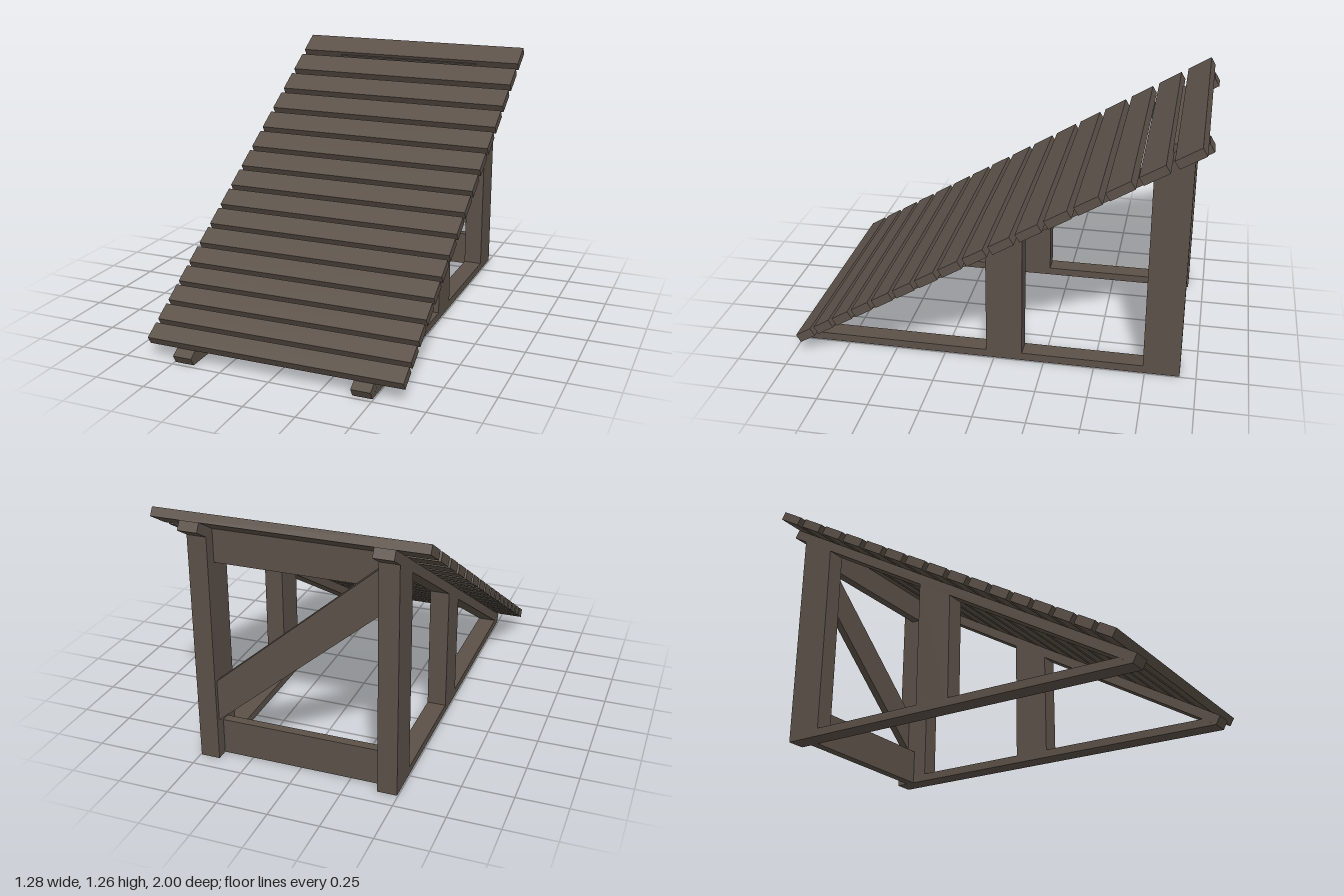
import * as THREE from 'three';

const wood = new THREE.MeshStandardMaterial({ color: 0x5b5148, flatShading: true });
const angle = Math.atan(0.601);
const sin = Math.sin(angle), cos = Math.cos(angle);

// Underside height of the sloping rafters at a given z
const under = (z) => (0.975 - z) * 0.601;

// Prism from a side profile of [z, y] points, spanning x0..x1
function sidePrism(name, points, x0, x1) {
  const shape = new THREE.Shape(points.map(([z, y]) => new THREE.Vector2(-z, y)));
  const geo = new THREE.ExtrudeGeometry(shape, { depth: x1 - x0, bevelEnabled: false });
  geo.rotateY(Math.PI / 2).translate(x0, 0, 0);
  const mesh = new THREE.Mesh(geo, wood);
  mesh.name = name;
  return mesh;
}

// Plank across the back from a front profile of [x, y] points, spanning z0..z1
function backPlank(name, points, z0, z1) {
  const shape = new THREE.Shape(points.map(([x, y]) => new THREE.Vector2(x, y)));
  const geo = new THREE.ExtrudeGeometry(shape, { depth: z1 - z0, bevelEnabled: false });
  geo.translate(0, 0, z0);
  const mesh = new THREE.Mesh(geo, wood);
  mesh.name = name;
  return mesh;
}

// Plank profile lying along the slope; (z, y) is its lower front corner
function slopeProfile(z, y, length, thick) {
  const dz = -cos * length, dy = sin * length;
  const nz = sin * thick, ny = cos * thick;
  return [[z, y], [z + dz, y + dy], [z + dz + nz, y + dy + ny], [z + nz, y + ny]];
}

export function createModel() {
  const model = new THREE.Group();
  model.name = 'slattedRamp';

  // Two side frames: ground rail, sloping rafter and two posts
  for (const side of [-1, 1]) {
    const frame = new THREE.Group();
    frame.name = side > 0 ? 'leftFrame' : 'rightFrame';
    const x0 = side > 0 ? 0.4 : -0.495;
    const x1 = x0 + 0.095;
    frame.add(sidePrism('groundRail', [[0.975, 0], [-0.92, 0], [-0.92, 0.04], [0.908, 0.04]], x0, x1));
    frame.add(sidePrism('rafter', slopeProfile(0.975, 0, 1.975 / cos, 0.047), x0, x1));
    for (const [name, front, back] of [['middlePost', 0.04, -0.14], ['backPost', -0.74, -0.92]]) {
      frame.add(sidePrism(name, [[front, 0], [back, 0], [back, under(back)], [front, under(front)]], x0, x1));
    }
    model.add(frame);
  }

  // Cross planks between the back posts, with a diagonal brace behind them
  const across = (y0, y1) => [[-0.4, y0], [0.4, y0], [0.4, y1], [-0.4, y1]];
  model.add(backPlank('lowerCrossPlank', across(0, 0.18), -0.86, -0.815));
  model.add(backPlank('upperCrossPlank', across(0.995, 1.175), -0.86, -0.815));
  model.add(backPlank('diagonalBrace', [[0.4, 0.2], [0.4, 0.41], [-0.4, 1.1], [-0.4, 0.88]], -0.9, -0.86));

  // Slats widen and spread steadily towards the top
  const slats = new THREE.Group();
  slats.name = 'slats';
  const thick = 0.044;
  let y = 0.103, pitch = 0.0577;
  for (let i = 0; i < 16; i++) {
    const z = 0.98 - (y - 0.103) / 0.601;
    const length = (0.046 + 0.0016 * i) / sin;
    slats.add(sidePrism('slat', slopeProfile(z - sin * thick, y - cos * thick, length, thick), -0.64, 0.64));
    y += pitch;
    pitch *= 1.032;
  }
  model.add(slats);
  return model;
}
